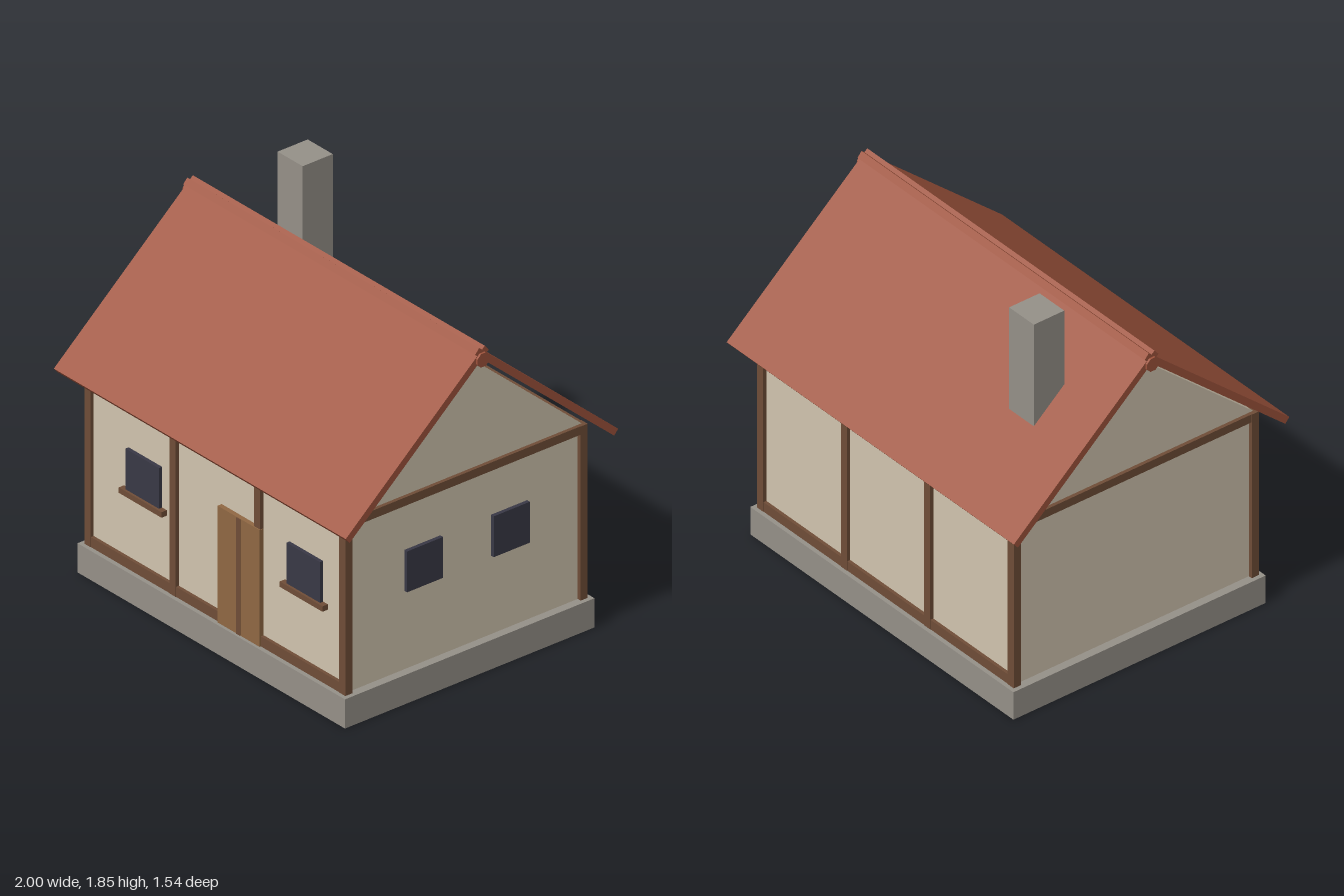
import * as THREE from 'three';

const material = (name, color) => {
  const m = new THREE.MeshStandardMaterial({ color });
  m.name = name;
  return m;
};

export function createModel() {
  const house = new THREE.Group();
  house.name = 'cottage';

  const plaster = material('plaster', 0xd0c4ae);
  const stone = material('stone', 0x959088);
  const timber = material('timber', 0x6f4d37);
  const tile = material('roofTile', 0x9e533c);
  const doorWood = material('doorWood', 0x906843);
  const glass = material('darkGlass', 0x393845);

  const add = (name, geometry, mat) => {
    const mesh = new THREE.Mesh(geometry, mat);
    mesh.name = name;
    house.add(mesh);
    return mesh;
  };
  // Box given by its lower and upper limits on each axis
  const box = (name, mat, [x0, x1], [y0, y1], [z0, z1]) => {
    const mesh = add(name, new THREE.BoxGeometry(x1 - x0, y1 - y0, z1 - z0), mat);
    mesh.position.set((x0 + x1) / 2, (y0 + y1) / 2, (z0 + z1) / 2);
    return mesh;
  };
  // Limits on one axis, mirrored when side is -1
  const span = (a, b, side) => (side > 0 ? [a, b] : [-b, -a]);

  box('foundation', stone, [-0.907, 0.907], [0, 0.145], [-0.705, 0.705]);

  // Walls and gables: one house-shaped section run along x
  const section = new THREE.Shape([
    [-0.667, 0.145], [0.667, 0.145], [0.667, 1.01], [0, 1.59], [-0.667, 1.01],
  ].map(([z, y]) => new THREE.Vector2(z, y)));
  const walls = new THREE.ExtrudeGeometry(section, { depth: 1.73, bevelEnabled: false });
  walls.translate(0, 0, -0.865).rotateY(Math.PI / 2);
  add('wallsAndGables', walls, plaster);

  // Timber frame
  for (const s of [-1, 1]) {
    const face = span(0.645, 0.685, s);
    for (const side of [-1, 1]) {
      box('cornerPost', timber, span(0.843, 0.885, side), [0.145, 1.01], face);
      box('middlePost', timber, span(0.265, 0.308, side), [0.145, 1.0], face);
    }
    box('sillBeam', timber, [-0.88, 0.88], [0.145, 0.195], span(0.645, 0.683, s));
    box('wallPlate', timber, [-0.88, 0.88], [0.968, 1.009], span(0.645, 0.683, s));
    box('gableBeam', timber, span(0.845, 0.883, s), [0.968, 1.01], [-0.684, 0.684]);
  }

  // Roof slabs cross slightly at the ridge
  const pitch = 0.714, length = 1.04, thick = 0.035;
  for (const s of [-1, 1]) {
    const slab = new THREE.BoxGeometry(1.98, thick, length);
    slab.translate(0, -thick / 2, -length / 2).rotateX(pitch).translate(0, 1.0, 0.77);
    if (s < 0) slab.rotateY(Math.PI);
    add(s > 0 ? 'frontRoof' : 'backRoof', slab, tile);
  }
  const ridge = new THREE.CylinderGeometry(0.036, 0.036, 2, 8).toNonIndexed();
  ridge.rotateY(Math.PI / 8).rotateZ(Math.PI / 2).translate(0, 1.62, 0);
  ridge.computeVertexNormals();
  add('ridgeBeam', ridge, tile);

  box('chimney', stone, [-0.69, -0.52], [1.15, 1.845], [-0.415, -0.245]);

  // Front windows with sills, and two on the left wall
  for (const x of [-0.492, 0.6]) {
    box('frontWindow', glass, [x - 0.114, x + 0.114], [0.533, 0.737], [0.65, 0.685]);
    box('windowSill', timber, [x - 0.145, x + 0.145], [0.508, 0.535], [0.65, 0.697]);
  }
  for (const z of [0.233, -0.257]) {
    box('sideWindow', glass, [0.85, 0.884], [0.535, 0.738], [z - 0.102, z + 0.102]);
  }

  // Double door with a cover strip
  box('doorLeafRight', doorWood, [0.025, 0.168], [0.145, 0.725], [0.65, 0.69]);
  box('doorLeafLeft', doorWood, [0.168, 0.31], [0.145, 0.725], [0.65, 0.69]);
  box('doorStrip', timber, [0.156, 0.181], [0.146, 0.724], [0.688, 0.694]);

  return house;
}
